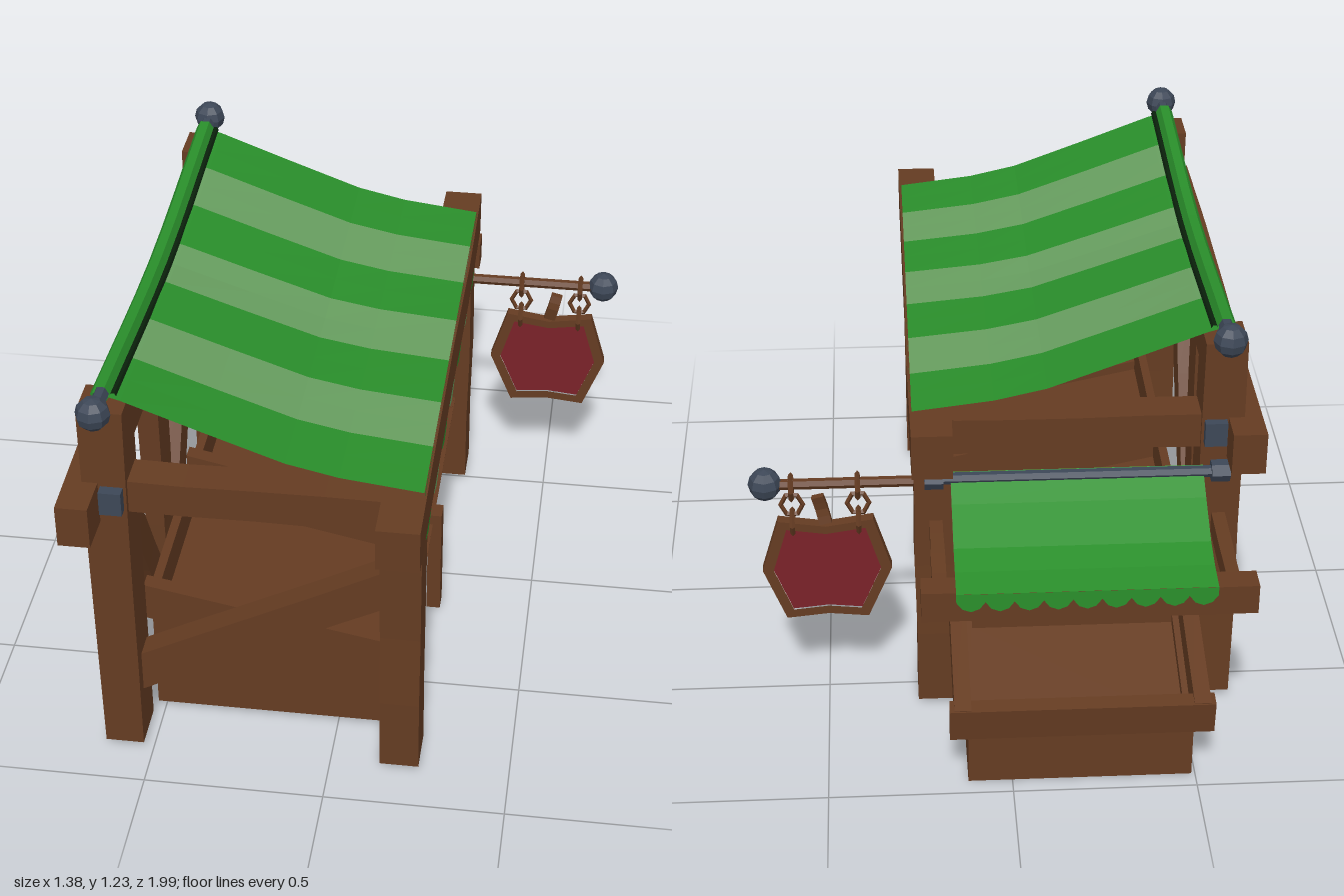
import * as THREE from 'three';
import { ParametricGeometry } from 'three/addons/geometries/ParametricGeometry.js';

const mat = (name, color, side = THREE.FrontSide) => {
  const m = new THREE.MeshStandardMaterial({ color, side, flatShading: true });
  m.name = name;
  return m;
};

export function createModel() {
  const model = new THREE.Group();
  model.name = 'marketStall';
  const wood = mat('brown wood', 0x653c22);
  const green = mat('green cloth', 0x2a8f2b, THREE.DoubleSide);
  const pale = mat('pale green cloth', 0x689f60, THREE.DoubleSide);
  const shade = mat('dark cloth lining', 0x0a200b);
  const iron = mat('blue grey iron', 0x3d4757);
  const red = mat('dark red panel', 0x7a2229);

  const V = (x, y, z) => new THREE.Vector3(x, y, z);
  let seed = 7;
  const rnd = () => {
    seed = (seed * 16807) % 2147483647;
    return seed / 2147483647 - 0.5;
  };
  const add = (name, geo, material, x = 0, y = 0, z = 0, parent = model) => {
    const m = new THREE.Mesh(geo, material);
    m.name = name;
    m.position.set(x, y, z);
    parent.add(m);
    return m;
  };
  const box = (name, w, h, d, x, y, z, material = wood, parent = model) =>
    add(name, new THREE.BoxGeometry(w, h, d), material, x, y, z, parent);

  // Rough hewn beam: a box between two points whose rings are unevenly scaled.
  // w runs along x (along z for beams that lie along x), d along the other side.
  const beam = (name, a, b, w, d, { bow = 0, rough = 0.14, segs = 4 } = {}) => {
    const dir = b.clone().sub(a), len = dir.length();
    dir.normalize();
    const sx = Math.abs(dir.x) > 0.7 ? V(0, 0, 1) : V(1, 0, 0);
    sx.addScaledVector(dir, -sx.dot(dir)).normalize();
    const sz = sx.clone().cross(dir);
    const rings = Array.from({ length: segs + 1 }, () => [1 + rnd() * rough, 1 + rnd() * rough, rnd() * rough * 0.5]);
    const g = new THREE.BoxGeometry(w, len, d, 1, segs, 1), p = g.attributes.position;
    for (let i = 0; i < p.count; i++) {
      const t = p.getY(i) / len + 0.5, r = rings[Math.round(t * segs)];
      p.setX(i, p.getX(i) * r[0]);
      p.setZ(i, p.getZ(i) * r[1] + r[2] * d + bow * Math.sin(Math.PI * t));
    }
    g.applyMatrix4(new THREE.Matrix4().makeBasis(sx, dir, sz));
    const c = a.clone().add(b).multiplyScalar(0.5);
    return add(name, g, wood, c.x, c.y, c.z);
  };

  // Frame: four posts, cross beams and long rails
  for (const z of [0.81, -0.545]) {
    beam('backPost', V(-0.58, 0.02, z), V(-0.58, 1.15, z), 0.115, 0.125);
    beam('frontPost', V(0.195, 0.02, z), V(0.195, 0.94, z), 0.105, 0.125);
    beam('crossBeam', V(-0.56, 0.88, z), V(0.18, 0.88, z), 0.1, 0.1, { rough: 0.1 });
    box('ironBolt', 0.06, 0.07, 0.04, -0.56, 0.885, z > 0 ? 0.885 : -0.61, iron);
  }
  beam('backRail', V(-0.64, 0.865, -0.7), V(-0.64, 0.865, 0.99), 0.09, 0.125, { rough: 0.1 });
  beam('frontRail', V(0.2, 0.88, -0.7), V(0.2, 0.88, 0.99), 0.115, 0.13, { rough: 0.1 });
  beam('sideBrace', V(-0.57, 0.23, 0.8), V(0.19, 0.635, 0.8), 0.07, 0.11, { rough: 0.06 });
  beam('middlePost', V(-0.63, 0.02, 0.11), V(-0.63, 0.88, 0.11), 0.06, 0.12);
  beam('backBrace', V(-0.63, 0.05, 0.22), V(-0.63, 0.86, 0.69), 0.055, 0.1);
  beam('backBrace', V(-0.63, 0.05, 0.0), V(-0.63, 0.86, -0.46), 0.055, 0.1);

  // Display crate, hollow below, with a flared rim that slopes down to the front (+x)
  const slab = (name, pts, thick, z, parent) => {
    const s = new THREE.Shape(pts.map(([x, y]) => new THREE.Vector2(x, y)));
    const g = new THREE.ExtrudeGeometry(s, { depth: thick, bevelEnabled: false });
    return add(name, g, wood, 0, 0, z - thick / 2, parent);
  };
  const crate = (name, x0, x1, half, y0, back, front, rim) => {
    const g = new THREE.Group();
    g.name = name;
    model.add(g);
    const t = 0.025, f = 0.035, depth = x1 - x0, mid = (x0 + x1) / 2;
    const wall = (e) => [[x0, y0], [x1, y0], [x1, front - rim + e], [x0, back - rim + e]];
    const band = [[x0 - 0.01, back - rim], [x1 + f, front - rim], [x1 + f + 0.01, front], [x0 - 0.01, back]];
    for (const s of [1, -1]) {
      slab('crateSide', wall(0.02), t, s * (half - t / 2), g);
      slab('crateRimSide', band, 0.045, s * (half + 0.015), g);
    }
    const hf = front - rim + 0.02 - y0, hb = back - 0.03 - y0;
    box('crateFront', t, hf, half * 2, x1 - t / 2, y0 + hf / 2, 0, wood, g);
    box('crateBack', t, hb, half * 2, x0 + t / 2, y0 + hb / 2, 0, wood, g);
    box('crateRimFront', 0.045, rim, half * 2 + 0.1, x1 + 0.02, front - rim / 2, 0, wood, g).rotation.z = -0.12;
    const floorTilt = Math.atan2(front - back, depth);
    const floor = box('crateFloor', depth, 0.02, half * 2 - 0.02, mid, (back + front) / 2 - rim - 0.02, 0, wood, g);
    floor.rotation.z = floorTilt;
    return g;
  };
  const main = crate('mainCrate', -0.52, 0.16, 0.56, 0.02, 0.48, 0.335, 0.115);
  main.position.z = 0.14;
  slab('crateDivider', [[-0.52, 0.02], [0.17, 0.02], [0.2, 0.35], [-0.52, 0.51]], 0.045, 0.015, main);
  box('crateStrap', 0.04, 0.35, 0.055, 0.215, 0.19, 0.015, wood, main);
  const small = crate('sideCrate', 0.59, 0.95, 0.305, 0, 0.385, 0.275, 0.1);
  small.rotation.y = Math.PI / 2;
  small.position.x = -0.185;

  // Cloth helpers: interpolated profile, upper skin, lining and scalloped edge
  const lerpProfile = (pts, t) => {
    const k = Math.min(pts.length - 2, Math.floor(t * (pts.length - 1) + 1e-6));
    const f = t * (pts.length - 1) - k;
    return pts[k].map((a, i) => a + (pts[k + 1][i] - a) * f);
  };
  const scallop = (w, corner, tip) => {
    const s = new THREE.Shape();
    s.moveTo(-w / 2, 0);
    s.lineTo(-w / 2, -corner);
    s.lineTo(-w * 0.3, -corner - (tip - corner) * 0.7);
    s.lineTo(0, -tip);
    s.lineTo(w * 0.3, -corner - (tip - corner) * 0.7);
    s.lineTo(w / 2, -corner);
    s.lineTo(w / 2, 0);
    return new THREE.ShapeGeometry(s);
  };

  // Main striped awning
  const roof = [[-0.6, 1.19], [-0.53, 1.17], [-0.32, 1.09], [-0.11, 1.012], [0.03, 0.98], [0.25, 0.953]];
  const stripes = 7, zMin = -0.577, sw = 0.202, zMid = zMin + sw * 3.5;
  const roofPoint = (t, z, drop, out) => {
    const [x, y] = lerpProfile(roof, t);
    const sag = 0.04 * (1 - t) * (1 - Math.abs(z - zMid) / (sw * 3.5));
    out.set(x, y - sag - drop, z);
  };
  for (let i = 0; i < stripes; i++) {
    const z0 = zMin + i * sw, m = i % 2 ? pale : green;
    add('awningStripe', new ParametricGeometry((u, v, o) => roofPoint(v, z0 + u * sw, 0, o), 2, 5), m);
    add('awningLining', new ParametricGeometry((u, v, o) => roofPoint(u, z0 + v * sw, 0.018, o), 5, 2), shade);
    const edge = add('awningScallop', scallop(sw, 0.145, 0.205), m, 0.252, 0.953, z0 + sw / 2);
    edge.rotation.set(0, Math.PI / 2, 0);
  }
  const rope = (name, pts, r, m) =>
    add(name, new THREE.TubeGeometry(new THREE.CatmullRomCurve3(pts), 8, r, 6), m);
  rope('awningRoll', [V(-0.58, 1.185, 0.837), V(-0.58, 1.145, zMid), V(-0.58, 1.185, zMin)], 0.026, green);
  rope('awningRod', [V(-0.58, 1.185, 0.92), V(-0.58, 1.145, zMid), V(-0.58, 1.185, -0.65)], 0.02, iron);
  rope('awningCord', [V(-0.548, 1.182, 0.835), V(-0.548, 1.142, zMid), V(-0.548, 1.182, zMin)], 0.009, shade);
  const ball = new THREE.SphereGeometry(0.046, 8, 6);
  for (const z of [0.92, -0.65]) add('rodKnob', ball, iron, -0.58, 1.185, z);

  // Small awning over the side crate, with its arms, bar and rod
  const flap = [[0.785, -0.615], [0.735, -0.7], [0.675, -0.82], [0.655, -0.9], [0.645, -0.987]];
  const flapPoint = (x, t, drop, out) => {
    const [y, z] = lerpProfile(flap, t);
    out.set(x, y - drop, z);
  };
  const fx = -0.53, fw = 0.68;
  add('smallAwning', new ParametricGeometry((u, v, o) => flapPoint(fx + fw * (1 - u), v, 0, o), 1, 4), green);
  add('smallAwningLining', new ParametricGeometry((u, v, o) => flapPoint(fx + fw * (1 - v), u, 0.012, o), 4, 1), wood);
  for (let i = 0; i < 9; i++)
    add('smallScallop', scallop(fw / 9, 0.025, 0.055), green, fx + (i + 0.5) * fw / 9, 0.645, -0.988);
  const rod = (name, r, len, m, x, y, z) => {
    const c = add(name, new THREE.CylinderGeometry(r, r, len, 6), m, x, y, z);
    c.rotation.z = Math.PI / 2;
    return c;
  };
  rod('smallAwningRod', 0.016, 0.76, iron, -0.19, 0.775, -0.632);
  for (const x of [-0.575, 0.195]) {
    rod('smallRodEnd', 0.03, 0.05, iron, x, 0.775, -0.63);
    beam('awningArm', V(x - 0.005, 0.595, -0.58), V(x - 0.005, 0.59, -0.94), 0.037, 0.06, { rough: 0.1 });
  }
  beam('awningBar', V(-0.64, 0.592, -0.935), V(0.24, 0.592, -0.935), 0.075, 0.09);

  // Hanging sign: rod, chains, hexagonal frame and panel
  const sz = -0.56;
  rod('signRod', 0.015, 0.42, wood, 0.43, 0.725, sz);
  add('signKnob', ball, iron, 0.65, 0.728, sz);
  const hex = (s, Type) => new Type([[-0.13, 0.16], [0, 0.14], [0.13, 0.16], [0.178, 0], [0.117, -0.16],
    [0, -0.148], [-0.11, -0.16], [-0.178, 0]].map(([x, y]) => new THREE.Vector2(x * s, y * s)));
  const frame = hex(1, THREE.Shape);
  frame.holes.push(hex(0.83, THREE.Path));
  add('signFrame', new THREE.ExtrudeGeometry(frame, { depth: 0.032, bevelEnabled: false }), wood, 0.49, 0.455, sz - 0.016);
  add('signPanel', new THREE.ExtrudeGeometry(hex(0.84, THREE.Shape), { depth: 0.016, bevelEnabled: false }), red, 0.49, 0.455, sz - 0.008);
  beam('signStem', V(0.49, 0.6, sz), V(0.51, 0.685, sz), 0.035, 0.02, { bow: 0.008 });
  const link = new THREE.TorusGeometry(0.03, 0.007, 4, 6);
  for (const x of [0.4, 0.58]) {
    rod('rodCollar', 0.024, 0.014, wood, x, 0.725, sz);
    for (const [y, turn] of [[0.715, 1], [0.66, 0], [0.605, 1]]) {
      const l = add('chainLink', link, wood, x, y, sz);
      l.rotation.y = turn * Math.PI / 2;
      l.scale.y = 1.15;
    }
  }
  return model;
}
